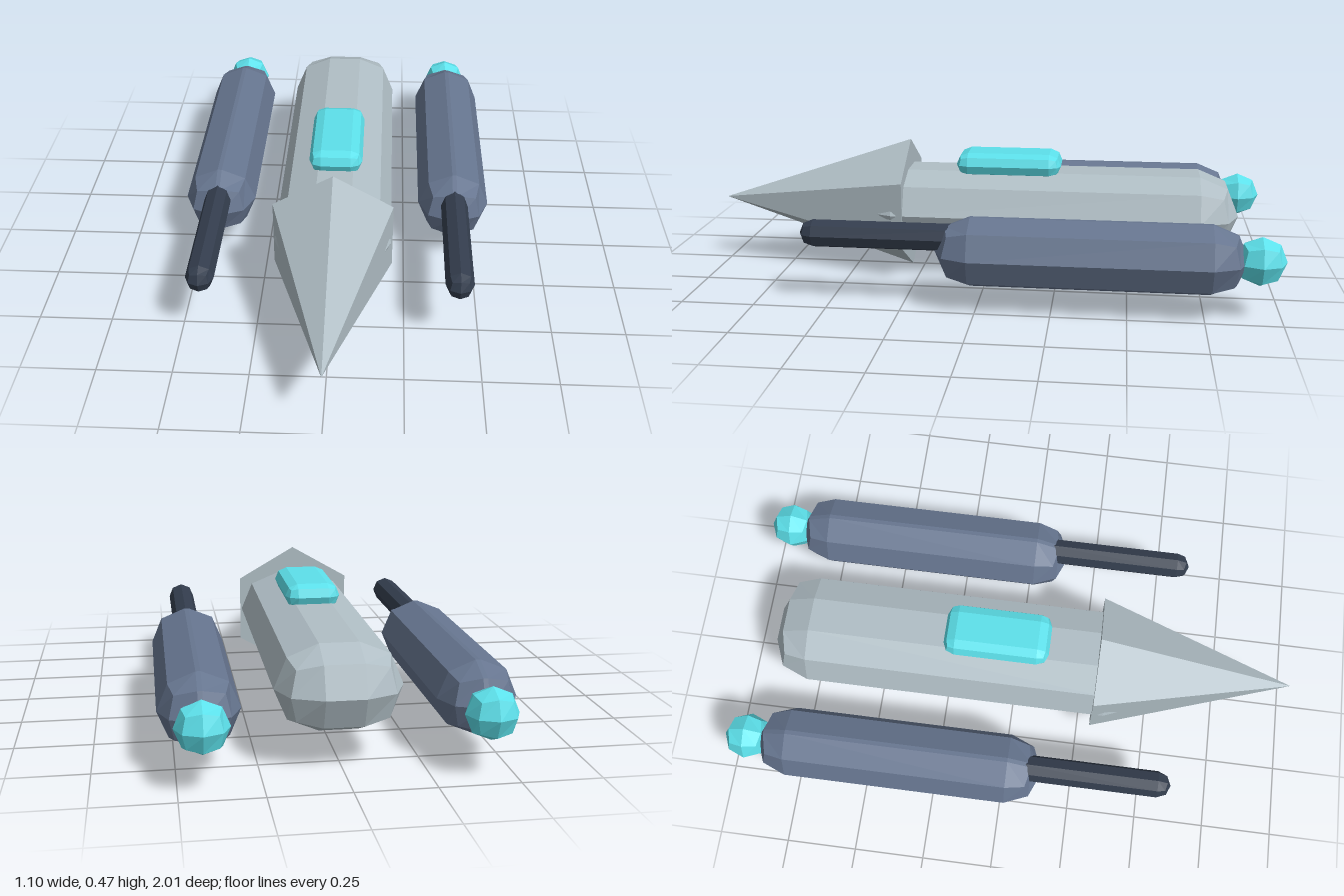
import * as THREE from 'three';
import { RoundedBoxGeometry } from 'three/addons/geometries/RoundedBoxGeometry.js';

const material = (color) => new THREE.MeshStandardMaterial({ color, flatShading: true });

export function createModel() {
  const model = new THREE.Group();
  model.name = 'starship';

  const hull = material(0xb0bec5);
  const engine = material(0x66758f);
  const gun = material(0x333d4d);
  const glow = material(0x5ce0ea);

  // Coarse rounded box: one bevel step per edge
  function block(parent, name, mat, size, radius, position) {
    const mesh = new THREE.Mesh(new RoundedBoxGeometry(...size, 1, radius), mat);
    mesh.name = name;
    mesh.position.set(...position);
    parent.add(mesh);
    return mesh;
  }

  // Fuselage and canopy
  block(model, 'fuselage', hull, [0.4, 0.276, 1.358], 0.138, [0, 0.2425, -0.204]);
  block(model, 'canopy', glow, [0.188, 0.083, 0.374], 0.0415, [0, 0.404, -0.068]);

  // Six-sided nose, ridge upwards
  const noseGeometry = new THREE.ConeGeometry(0.2375, 0.705, 6);
  noseGeometry.rotateX(Math.PI / 2);
  const nose = new THREE.Mesh(noseGeometry, hull);
  nose.name = 'noseCone';
  nose.position.set(0, 0.2425, 0.6475);
  model.add(nose);

  // Side pods, each with a gun in front and a thruster behind
  for (const side of [-1, 1]) {
    const pod = new THREE.Group();
    pod.name = side > 0 ? 'leftPod' : 'rightPod';
    pod.position.x = side * 0.425;
    block(pod, 'engine', engine, [0.252, 0.237, 1.026], 0.1185, [0, 0.1975, -0.373]);
    block(pod, 'gunBarrel', gun, [0.095, 0.095, 0.6], 0.0475, [0, 0.2425, 0.299]);
    block(pod, 'thruster', glow, [0.166, 0.166, 0.166], 0.083, [0, 0.1975, -0.925]);
    model.add(pod);
  }

  return model;
}
